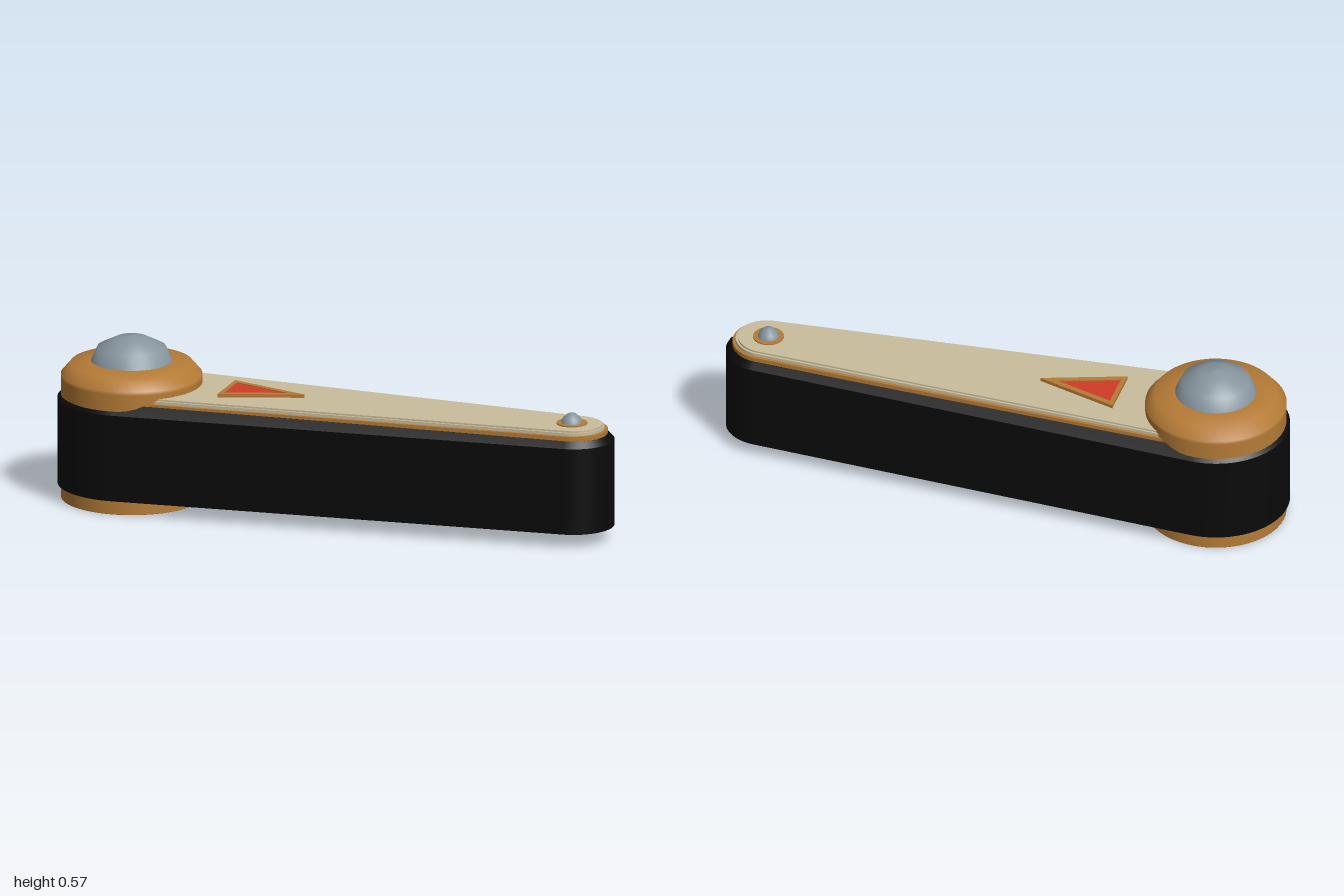
import * as THREE from 'three';
import { mergeGeometries } from 'three/addons/utils/BufferGeometryUtils.js';

const HUB_X = -0.745, TIP_X = 0.86;

function material(name, color) {
  const m = new THREE.MeshStandardMaterial({ color });
  m.name = name;
  return m;
}

// Outline around two circles of radius r1 (hub end) and r2 (tip end)
function outline(r1, r2) {
  const a = Math.acos((r1 - r2) / (TIP_X - HUB_X));
  const pts = [];
  const arc = (cx, r, from, to, n) => {
    for (let i = 0; i <= n; i++) {
      const t = from + (to - from) * i / n;
      pts.push(new THREE.Vector2(cx + r * Math.cos(t), r * Math.sin(t)));
    }
  };
  arc(TIP_X, r2, -a, a, 24);
  arc(HUB_X, r1, a, 2 * Math.PI - a, 36);
  return pts;
}

// Surface between two outlines; each ring is [r1, r2, yHub, yTip]
function band(lower, upper) {
  const pos = [], idx = [];
  const rings = [lower, upper].map(([r1, r2]) => outline(r1, r2));
  const n = rings[0].length;
  rings.forEach((ring, k) => {
    const [, , y1, y2] = k ? upper : lower;
    ring.forEach((p, i) => pos.push(p.x, i <= 24 ? y2 : y1, p.y));
  });
  for (let i = 0; i < n; i++) {
    const j = (i + 1) % n;
    idx.push(i, n + i, j, j, n + i, n + j);
  }
  const g = new THREE.BufferGeometry();
  g.setAttribute('position', new THREE.Float32BufferAttribute(pos, 3));
  g.setIndex(idx);
  g.computeVertexNormals();
  return g;
}

// Flat slab lying in the xz plane
function slab(shape, y0, y1) {
  const g = new THREE.ExtrudeGeometry(shape, { depth: y1 - y0, bevelEnabled: false });
  g.rotateX(-Math.PI / 2);
  g.translate(0, y0, 0);
  return g;
}

function lathe(points, segments = 48) {
  return new THREE.LatheGeometry(points.map(([r, y]) => new THREE.Vector2(r, y)), segments);
}

function triangle(x0, x1, half) {
  return [new THREE.Vector2(x0, -half), new THREE.Vector2(x1, 0), new THREE.Vector2(x0, half)];
}

export function createModel() {
  const group = new THREE.Group();
  const black = material('black', 0x0a0a0a);
  black.side = THREE.DoubleSide;
  const brass = material('brass', 0xb57b36);
  const cream = material('cream', 0xc9bd9d);
  const steel = material('steel', 0x87959e);
  const red = material('red', 0xd23a27);

  const add = (name, geometry, mat, x = 0, y = 0) => {
    const mesh = new THREE.Mesh(geometry, mat);
    mesh.name = name;
    mesh.position.set(x, y, 0);
    group.add(mesh);
    return mesh;
  };

  // Hollow tapered arm, open underneath, with a bevelled top rim
  const rings = [
    [0.255, 0.14, 0.05, 0.05],
    [0.255, 0.14, 0.355, 0.355],
    [0.22, 0.12, 0.387, 0.377],
    [0.2, 0.1, 0.372, 0.372],
    [0.002, 0.001, 0.372, 0.372],
  ];
  add('armShell', mergeGeometries(rings.slice(1).map((r, i) => band(rings[i], r))), black);

  // Layered top plates
  add('brassPlate', slab(new THREE.Shape(outline(0.21, 0.117)), 0.374, 0.392), brass);
  add('creamPlateLower', slab(new THREE.Shape(outline(0.2, 0.106)), 0.392, 0.402), cream);
  add('creamPlateUpper', slab(new THREE.Shape(outline(0.193, 0.098)), 0.402, 0.408), cream);

  // Hub cylinder with rounded shoulder
  add('hub', lathe([
    [0, 0], [0.243, 0], [0.243, 0.001], [0.243, 0.425], [0.243, 0.438],
    [0.21, 0.477], [0.14, 0.485], [0, 0.485],
  ]), brass, HUB_X);
  add('hubDome', lathe([
    [0.14, 0.484], [0.118, 0.533], [0.055, 0.565], [0, 0.573],
  ]), steel, HUB_X);

  // Pin at the tip
  add('pinWasher', new THREE.CylinderGeometry(0.053, 0.053, 0.02, 32), brass, 0.853, 0.402);
  add('pinDome', lathe([
    [0.037, 0.411], [0.031, 0.428], [0.015, 0.442], [0, 0.445],
  ], 24), steel, 0.853);

  // Arrow marker with a raised frame
  const frame = new THREE.Shape(triangle(-0.402, -0.118, 0.093));
  frame.holes.push(new THREE.Path(triangle(-0.386, -0.18, 0.067)));
  add('arrowFrame', slab(frame, 0.407, 0.42), brass);
  add('arrowInlay', slab(new THREE.Shape(triangle(-0.386, -0.18, 0.067)), 0.409, 0.417), red);

  return group;
}
